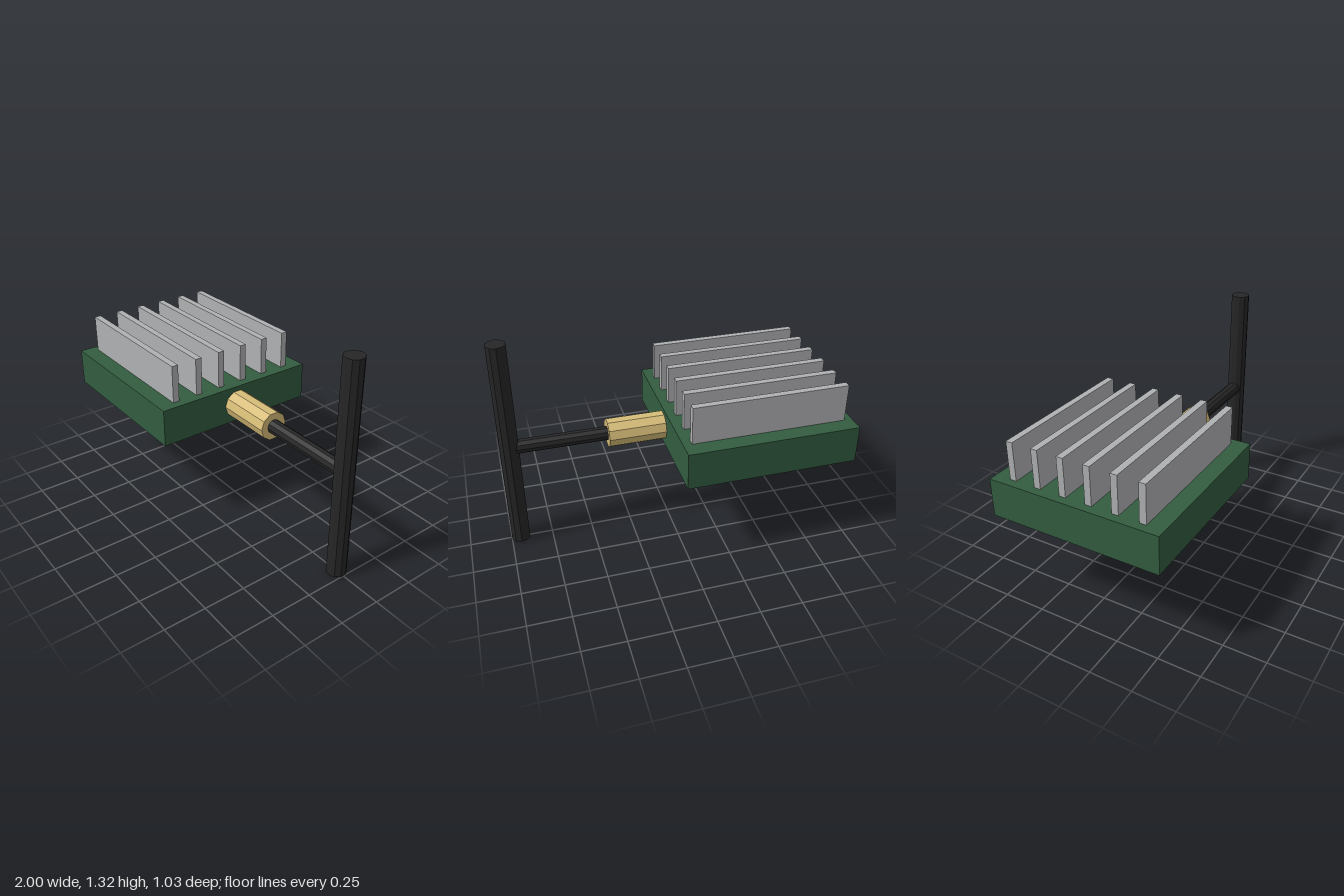
import * as THREE from 'three';

const paint = (name, color) => {
  const m = new THREE.MeshStandardMaterial({ color, flatShading: true });
  m.name = name;
  return m;
};

export function createModel() {
  const green = paint('boardGreen', 0x335c40);
  const silver = paint('finSilver', 0xb0b1b3);
  const brass = paint('brass', 0xd6bc78);
  const black = paint('antennaBlack', 0x262626);
  const model = new THREE.Group();
  model.name = 'radioModule';

  const add = (name, geometry, material, x, y, z) => {
    const mesh = new THREE.Mesh(geometry, material);
    mesh.name = name;
    mesh.position.set(x, y, z);
    model.add(mesh);
    return mesh;
  };
  // Ten-sided rod lying along x
  const rodX = (name, r, x0, x1, material) =>
    add(name, new THREE.CylinderGeometry(r, r, x1 - x0, 10).rotateZ(Math.PI / 2),
      material, (x0 + x1) / 2, 0.66, 0);

  // Flat body block
  add('body', new THREE.BoxGeometry(1.026, 0.228, 1.03), green, -0.487, 0.659, 0);

  // Row of cooling fins along the top
  for (let i = 0; i < 6; i++) {
    add('coolingFin', new THREE.BoxGeometry(0.925, 0.229, 0.04), silver,
      -0.488, 0.8875, (i - 2.5) * 0.1587);
  }

  // Connector, arm and upright antenna
  rodX('connector', 0.087, 0.02, 0.37, brass);
  rodX('antennaArm', 0.043, 0.36, 0.93, black);
  add('antenna', new THREE.CylinderGeometry(0.0575, 0.0575, 1.317, 10), black, 0.945, 0.6585, 0);

  return model;
}
